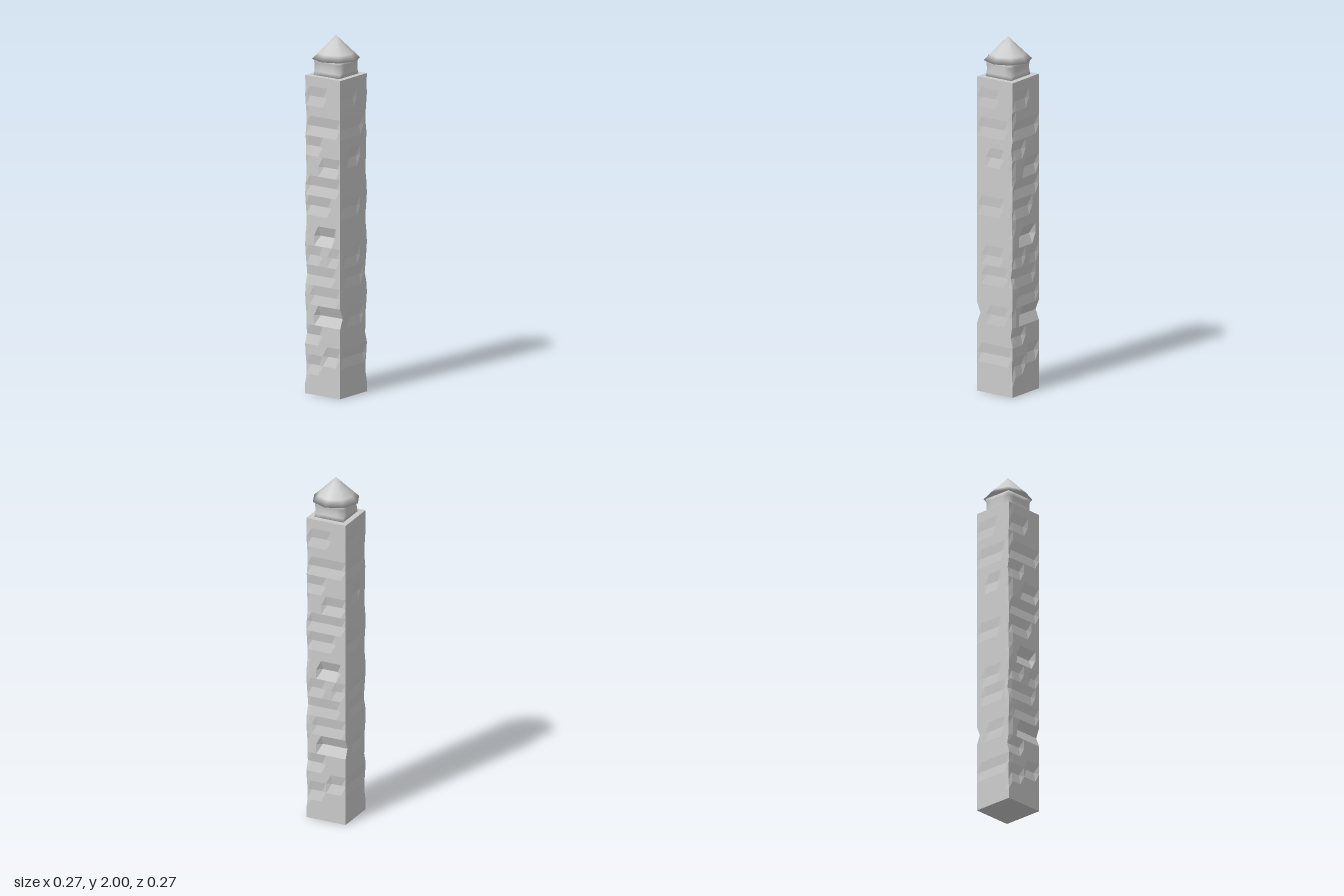
import * as THREE from 'three';
import { mergeVertices } from 'three/addons/utils/BufferGeometryUtils.js';

const HALF = 0.12, HEIGHT = 1.78, ROWS = 32, STEP = HEIGHT / ROWS;

// Chiselled notches: [height, from, to, depth] across a face
const FACE_NOTCHES = [
  [1.67, -0.09, 0, 0.008], [1.5, -0.09, 0.09, 0.01], [1.37, -0.12, -0.03, 0.01],
  [1.27, 0, 0.09, 0.012], [1.17, -0.09, 0.09, 0.01], [1.06, -0.09, 0.03, 0.01],
  [0.89, -0.03, 0.06, 0.022], [0.78, -0.09, -0.03, 0.008], [0.78, 0.06, 0.09, 0.008],
  [0.67, -0.12, 0.06, 0.008], [0.56, -0.06, 0.09, 0.008], [0.45, -0.03, 0.12, 0.022],
  [0.33, -0.12, -0.03, 0.012], [0.22, 0.03, 0.09, 0.012], [0.17, -0.09, -0.03, 0.01],
];
const SIDE_NOTCHES = [
  [1.67, -0.09, 0, 0.004], [1.5, -0.09, 0.06, 0.005], [1.33, -0.03, 0.03, 0.007],
  [1.06, -0.09, 0.03, 0.005], [0.78, -0.06, 0.03, 0.005], [0.67, -0.06, 0.06, 0.005],
  [0.45, -0.03, 0.06, 0.005], [0.22, -0.09, 0.09, 0.006],
];

function recess(notches, u, y) {
  let depth = 0;
  for (const [ny, a, b, d] of notches) {
    if (Math.abs(y - ny) <= STEP / 2 && u > a - 0.005 && u < b + 0.005) depth = Math.max(depth, d);
  }
  return depth;
}

// Carved square shaft, repeated by a half turn front to back
function shaftGeometry() {
  const g = new THREE.BoxGeometry(2 * HALF, HEIGHT, 2 * HALF, 8, ROWS, 8);
  g.translate(0, HEIGHT / 2, 0);
  const p = g.attributes.position;
  for (let i = 0; i < p.count; i++) {
    const x = p.getX(i), y = p.getY(i), z = p.getZ(i);
    if (y < 0.1 || y > HEIGHT - 0.03) continue;
    const sx = Math.sign(x), sz = Math.sign(z);
    const onX = Math.abs(x) > HALF - 0.001, onZ = Math.abs(z) > HALF - 0.001;
    // two opposite corners are worn in slow waves
    const worn = onX && onZ && sx !== sz ? 0.004 * (1 - Math.cos((y * 2 * Math.PI) / 0.28)) : 0;
    if (onZ) p.setZ(i, z - sz * (recess(FACE_NOTCHES, x * sz, y) + worn));
    if (onX && !onZ) p.setX(i, x - sx * recess(SIDE_NOTCHES, -z * sx, y));
    else if (onX) p.setX(i, x - sx * worn * 0.5);
  }
  g.computeVertexNormals();
  return g;
}

// Shares vertices so the shading runs softly over every edge
function soften(g) {
  g.deleteAttribute('normal');
  g.deleteAttribute('uv');
  const merged = mergeVertices(g, 1e-4);
  merged.computeVertexNormals();
  return merged;
}

// Square neck with a slight waist
function neckGeometry() {
  const g = new THREE.BoxGeometry(0.176, 0.1, 0.176, 4, 4, 4);
  const p = g.attributes.position;
  for (let i = 0; i < p.count; i++) {
    const pinch = 1 - 0.1 * Math.cos(p.getY(i) * Math.PI / 0.1);
    p.setX(i, p.getX(i) * (1 - (1 - pinch) * 0.3));
    p.setZ(i, p.getZ(i) * pinch);
  }
  return soften(g);
}

export function createModel() {
  const model = new THREE.Group();
  model.name = 'carvedPillar';
  const smooth = new THREE.MeshStandardMaterial({ color: 0xcccccc });
  const faceted = new THREE.MeshStandardMaterial({ color: 0xcccccc, flatShading: true });

  const add = (name, geometry, material, y) => {
    const mesh = new THREE.Mesh(geometry, material);
    mesh.name = name;
    mesh.position.y = y;
    model.add(mesh);
  };

  add('shaft', shaftGeometry(), faceted, 0);
  add('neck', neckGeometry(), smooth, 1.825);
  // Eight-sided pointed cap
  add('cap', soften(new THREE.ConeGeometry(0.133, 0.13, 8, 4)), smooth, 1.935);
  return model;
}
